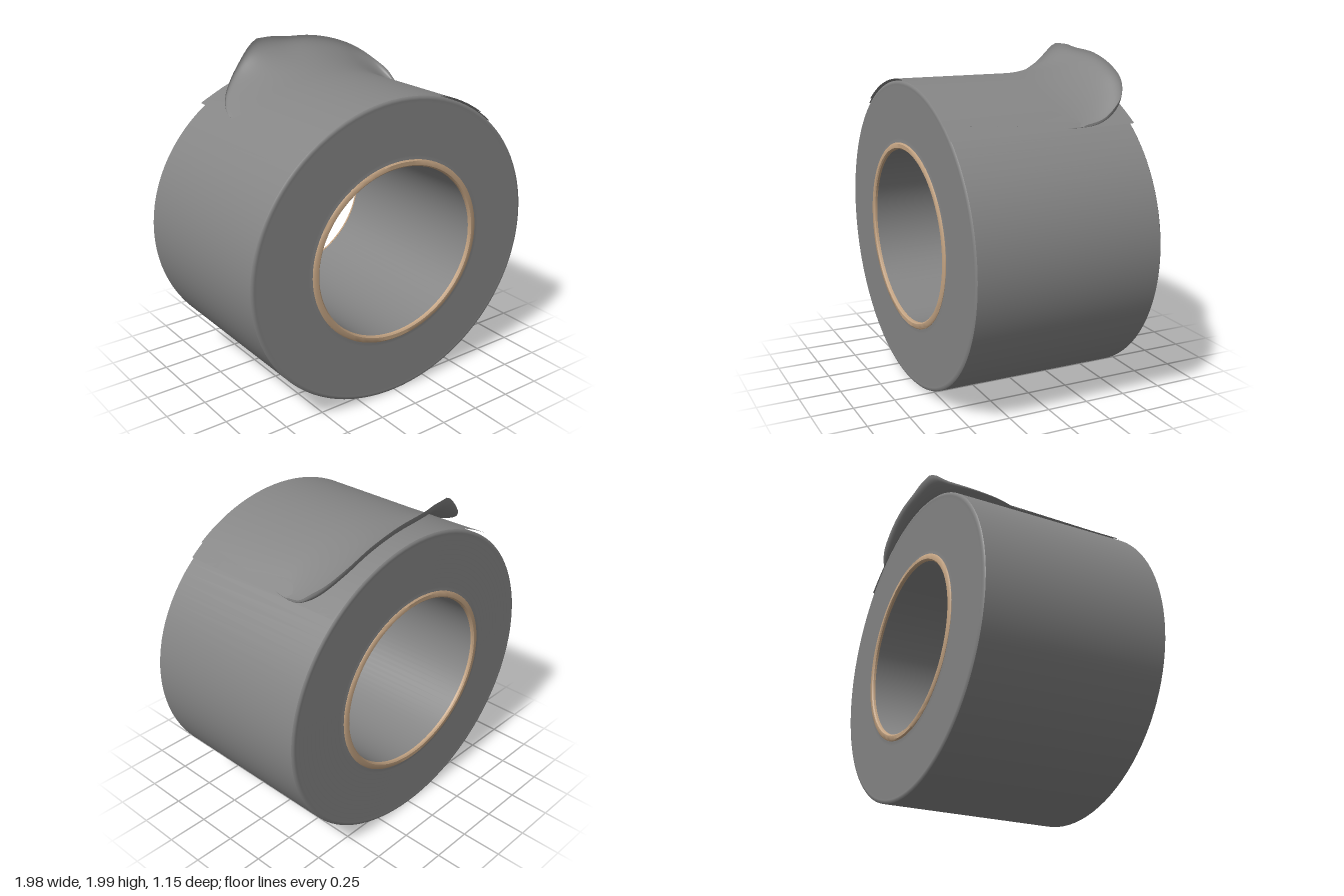
import * as THREE from 'three';
import { toCreasedNormals } from 'three/addons/utils/BufferGeometryUtils.js';

const RX = 0.988, RY = 0.91, CY = 0.92;      // squashed roll: radii and centre height
const SQUASH = RY / RX;

// Height of the roll's upper surface at x
const rollTop = (x) => CY + RY * Math.sqrt(1 - (x / RX) ** 2);

// Closed profile of [radius, z] points turned about the z axis
function turned(profile, creased = true) {
  const pts = profile.map(([r, z]) => new THREE.Vector2(r, z));
  pts.push(pts[0].clone());
  const geo = new THREE.LatheGeometry(pts, 96);
  geo.rotateX(Math.PI / 2);
  geo.scale(1, SQUASH, 1);
  geo.translate(0, CY, 0);
  return creased ? toCreasedNormals(geo, 0.7) : geo;
}

// Sheet made by a rule f(u, v) -> [x, y, z], with u and v in 0..1
function sheet(f, nu, nv) {
  const geo = new THREE.PlaneGeometry(1, 1, nu, nv);
  const p = geo.attributes.position;
  for (let i = 0; i < p.count; i++) p.setXYZ(i, ...f(p.getX(i) + 0.5, 0.5 - p.getY(i)));
  geo.computeVertexNormals();
  return geo;
}

export function createModel() {
  const group = new THREE.Group();
  const grey = new THREE.MeshStandardMaterial({ color: 0x858585, side: THREE.DoubleSide });
  grey.name = 'tape grey';
  const card = new THREE.MeshStandardMaterial({ color: 0xc4a483 });
  card.name = 'cardboard tan';
  const add = (name, geo, mat) => {
    const mesh = new THREE.Mesh(geo, mat);
    mesh.name = name;
    group.add(mesh);
  };

  // Wound tape, with faint layer ridges on both ends and a grey bore
  const ridges = [];
  for (let i = 1; i < 26; i++) ridges.push([RX - 0.008 - i * 0.0148, 0.56 + (i % 2 ? 0.0015 : -0.0015)]);
  const end = [[RX, 0.553], [RX - 0.008, 0.56], ...ridges];
  const bore = [[0.557, 0.56], [0.557, -0.56]];
  const back = end.map(([r, z]) => [r, -z]).reverse();
  add('tapeRoll', turned([...end, ...bore, ...back]), grey);

  // Cardboard core rims at both ends
  const rim = [[0.6, 0.55], [0.599, 0.563], [0.59, 0.57], [0.565, 0.57], [0.557, 0.563], [0.556, 0.55]];
  add('coreRimFront', turned(rim), card);
  add('coreRimBack', turned(rim.map(([r, z]) => [r, -z]).reverse()), card);

  // Loose layer beneath the flap, lifting a little at its ends
  add('looseLayer', sheet((u, v) => {
    const x = -0.62 + 1.3 * u;
    const lift = 0.006 + 0.025 * Math.abs(2 * u - 1) ** 6 * v;
    return [x, rollTop(x) + lift, 0.56 - 1.12 * v];
  }, 40, 10), grey);

  // Peeled flap: lies on the roll, then curls up to this rear edge [x, y, z]
  const edge = [
    [-0.625, 1.645, -0.2], [-0.61, 1.68, -0.28], [-0.55, 1.74, -0.38], [-0.4, 1.86, -0.5],
    [-0.22, 2.0, -0.555], [0, 1.985, -0.572], [0.2, 1.97, -0.575], [0.4, 1.92, -0.565],
    [0.55, 1.85, -0.545], [0.65, 1.77, -0.49], [0.695, 1.71, -0.42], [0.7, 1.65, -0.34], [0.685, 1.62, -0.24],
  ];
  const rear = new THREE.CatmullRomCurve3(edge.map((e) => new THREE.Vector3(...e)), false, 'centripetal');
  const flapPoint = (u, v) => {
    const e = rear.getPoint(u);
    const k = Math.max(0, (v - 0.5) / 0.5);          // progress through the curl
    const zStart = Math.max(e.z + 0.32, -0.14);
    const z = v < 0.5
      ? 0.565 + (zStart - 0.565) * v * 2
      : zStart + (e.z - zStart) * Math.sin(k * Math.PI / 2);
    const along = Math.min(1, (0.565 - z) / (0.565 - e.z));
    const frontX = -0.585 + 1.185 * (e.x + 0.625) / 1.325;
    const x = frontX + (e.x - frontX) * along ** 1.5;
    const lift = e.y - rollTop(e.x) - 0.012;
    return [x, Math.min(2, rollTop(x) + 0.012 + lift * (1 - Math.cos(k * Math.PI / 2))), z];
  };
  add('peeledFlap', sheet(flapPoint, 60, 40), grey);

  return group;
}
